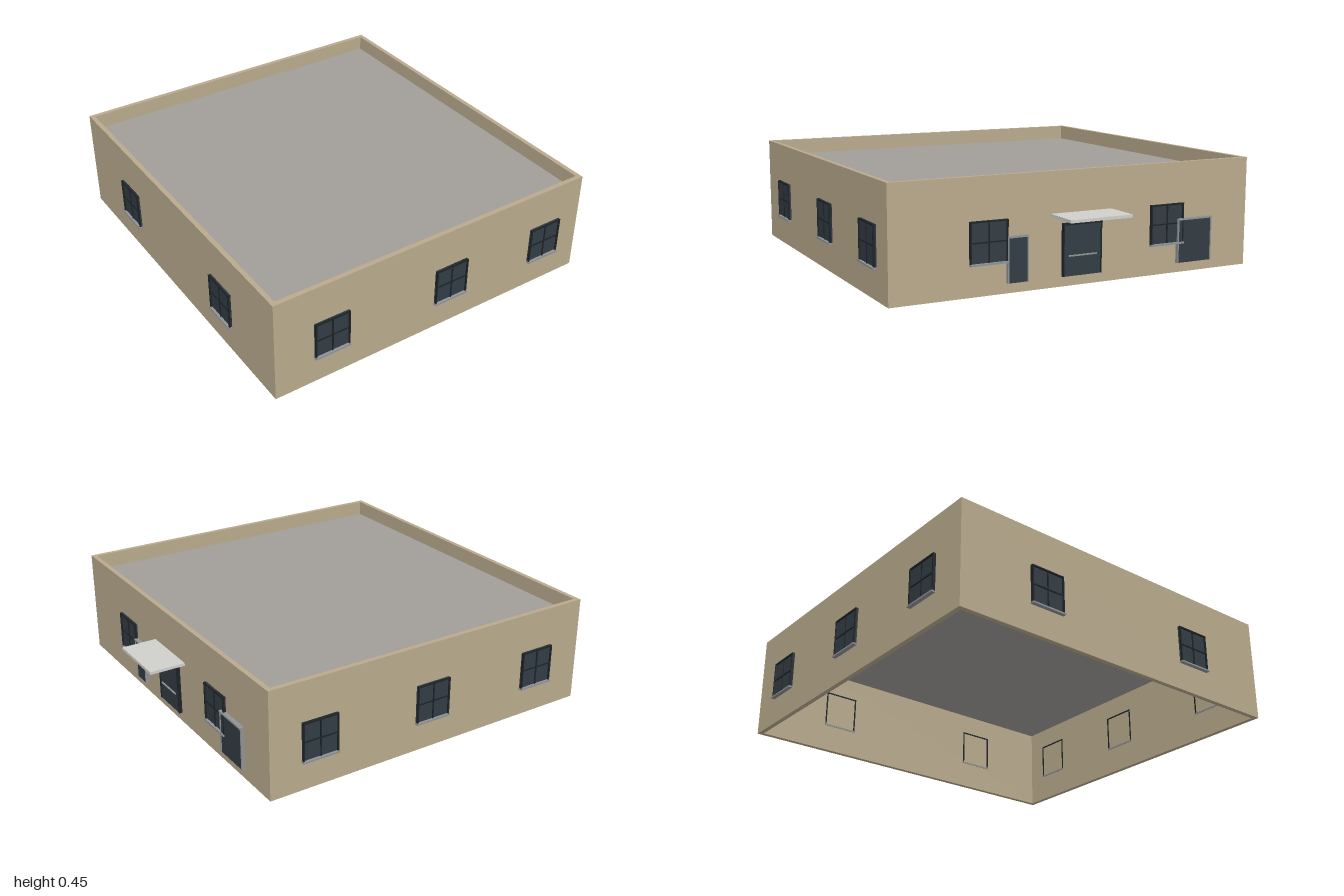
import * as THREE from 'three';

const W = 1.498, D = 1.589, H = 0.45, T = 0.02;

function mat(name, color) {
  const m = new THREE.MeshStandardMaterial({ color });
  m.name = name;
  return m;
}

export function createModel() {
  const tan = mat('tan wall', 0xb9aa8d);
  const grey = mat('grey roof', 0xa19d99);
  const glass = mat('dark glass', 0x323c43);
  const dark = mat('dark frame', 0x1d2328);
  const pale = mat('pale canopy', 0xcfcfcb);
  const trim = mat('grey trim', 0x8f9294);

  const building = new THREE.Group();
  building.name = 'building';
  building.rotation.y = -0.335;

  function box(parent, name, material, w, h, d, x, y, z) {
    const mesh = new THREE.Mesh(new THREE.BoxGeometry(w, h, d), material);
    mesh.name = name;
    mesh.position.set(x, y, z);
    parent.add(mesh);
    return mesh;
  }

  // Four walls as one open ring, rising past the roof as a parapet
  const rect = (C, w, d) => new C([
    new THREE.Vector2(-w / 2, -d / 2), new THREE.Vector2(w / 2, -d / 2),
    new THREE.Vector2(w / 2, d / 2), new THREE.Vector2(-w / 2, d / 2),
  ]);
  const ring = rect(THREE.Shape, W, D);
  ring.holes.push(rect(THREE.Path, W - 2 * T, D - 2 * T));
  const wallGeo = new THREE.ExtrudeGeometry(ring, { depth: H, bevelEnabled: false });
  wallGeo.rotateX(-Math.PI / 2);
  const walls = new THREE.Mesh(wallGeo, tan);
  walls.name = 'walls';
  building.add(walls);

  box(building, 'roof', grey, W - 2 * T, 0.008, D - 2 * T, 0, 0.381, 0);

  // Each side group has x along the wall and z = 0 on its outer face
  function side(name, angle, dist) {
    const g = new THREE.Group();
    g.name = name;
    g.rotation.y = angle;
    g.position.set(Math.sin(angle) * dist, 0, Math.cos(angle) * dist);
    building.add(g);
    return g;
  }

  // Frame bars run through the wall; the glass sits on the outer face
  function addWindow(parent, x) {
    const g = new THREE.Group();
    g.name = 'window';
    g.position.set(x, 0.204, 0);
    parent.add(g);
    const w = 0.156, h = 0.162, b = 0.006;
    box(g, 'windowGlass', glass, w, h, 0.006, 0, 0, 0.003);
    for (const s of [-1, 1]) {
      box(g, 'frameSide', dark, b, h, 0.035, s * (w - b) / 2, 0, -0.005);
    }
    box(g, 'frameTop', dark, w, b, 0.035, 0, (h - b) / 2, -0.005);
    box(g, 'mullion', dark, 0.005, h, 0.01, 0, 0, 0.005);
    box(g, 'crossBar', dark, w, 0.005, 0.01, 0, 0, 0.005);
    box(g, 'sill', trim, w + 0.004, 0.007, 0.04, 0, -h / 2, -0.003);
  }

  function addDoor(parent, x, w, h, surround) {
    const g = new THREE.Group();
    g.name = 'door';
    g.position.set(x, 0.04, 0);
    parent.add(g);
    box(g, 'doorPanel', glass, w, h, 0.012, 0, h / 2, 0.006);
    const m = surround ? trim : dark;
    for (const s of [-1, 1]) {
      box(g, 'doorJamb', m, 0.005, h, 0.015, s * (w + 0.005) / 2, h / 2, 0.0075);
    }
    box(g, 'doorHead', m, w + 0.01, 0.007, 0.018, 0, h + 0.0035, 0.009);
    return g;
  }

  const front = side('frontWall', 0, D / 2);
  [-0.498, 0.069, 0.561].forEach((x) => addWindow(front, x));

  const back = side('backWall', Math.PI, D / 2);
  [0.519, -0.016, -0.535].forEach((x) => addWindow(back, x));

  const left = side('windowWall', -Math.PI / 2, W / 2);
  [-0.393, 0.4].forEach((x) => addWindow(left, x));

  // Entrance side with two side doors and a covered main door
  const entry = side('entranceWall', Math.PI / 2, W / 2);
  [-0.398, 0.396].forEach((x) => addWindow(entry, x));
  addDoor(entry, -0.279, 0.078, 0.172, true);
  addDoor(entry, 0.529, 0.155, 0.175, true);
  const main = addDoor(entry, 0, 0.162, 0.2, false);
  box(main, 'pushBar', trim, 0.125, 0.005, 0.008, 0, 0.08, 0.014);
  box(entry, 'canopy', pale, 0.27, 0.012, 0.15, 0, 0.281, 0.075);

  const model = new THREE.Group();
  model.name = 'model';
  model.add(building);
  return model;
}
